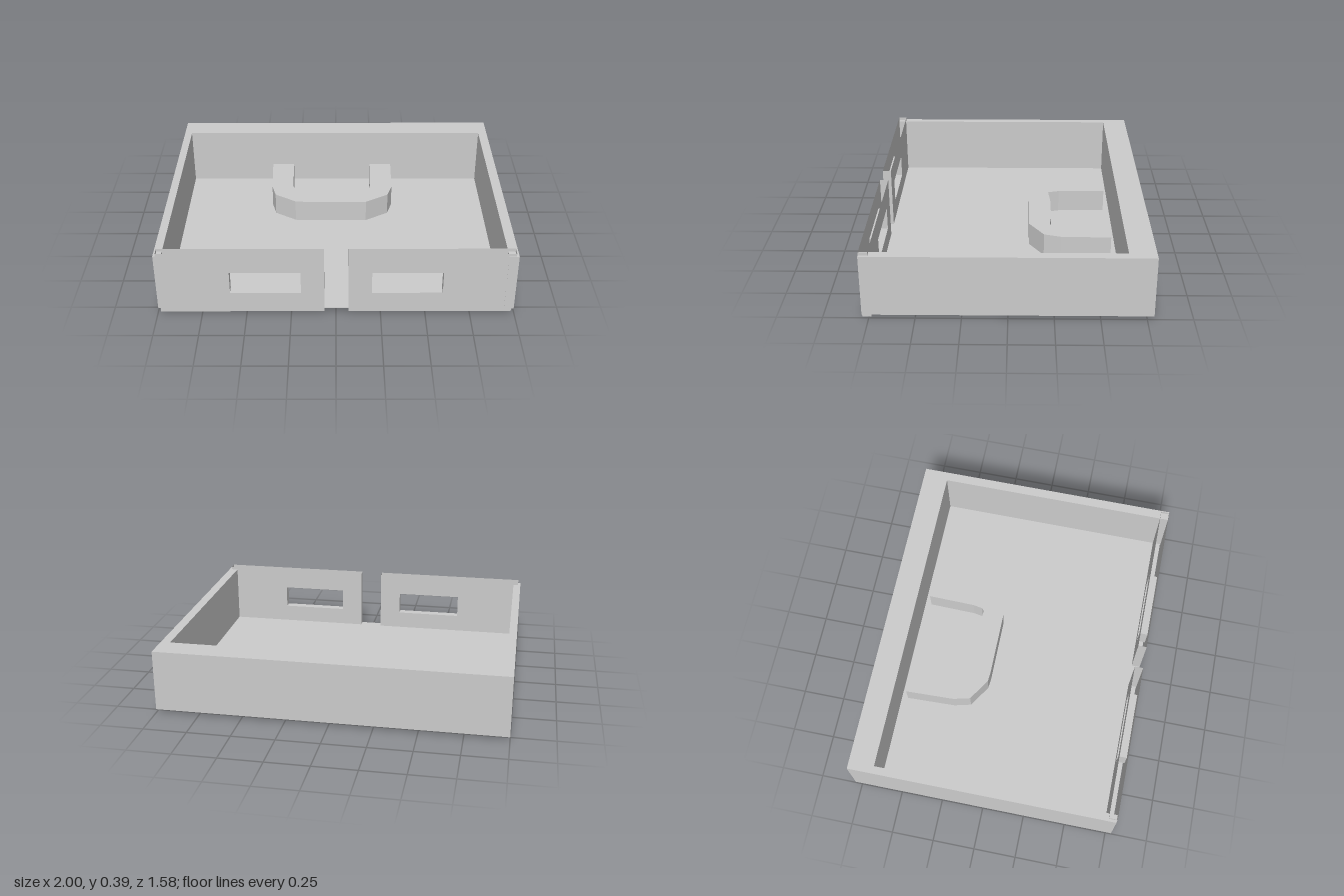
import * as THREE from 'three';

const material = new THREE.MeshStandardMaterial({ color: 0xcccccc, flatShading: true, side: THREE.DoubleSide });

function add(group, name, geometry) {
  const mesh = new THREE.Mesh(geometry, material);
  mesh.name = name;
  group.add(mesh);
  return mesh;
}

// Box given by its lower and upper corners
function block(group, name, [x0, y0, z0], [x1, y1, z1]) {
  const mesh = add(group, name, new THREE.BoxGeometry(x1 - x0, y1 - y0, z1 - z0));
  mesh.position.set((x0 + x1) / 2, (y0 + y1) / 2, (z0 + z1) / 2);
}

function rectangle(path, x0, y0, x1, y1) {
  path.moveTo(x0, y0).lineTo(x1, y0).lineTo(x1, y1).lineTo(x0, y1).closePath();
  return path;
}

// Hollow panel with a window, open along its top and bottom edges
function panelGeometry(x0, x1, windowX0, windowX1) {
  const height = 0.393;
  const shape = rectangle(new THREE.Shape(), x0, 0, x1, height);
  shape.holes.push(rectangle(new THREE.Path(), windowX0, 0.13, windowX1, 0.265));
  const solid = new THREE.ExtrudeGeometry(shape, { depth: 0.05, bevelEnabled: false });
  const p = solid.attributes.position;
  const kept = [];
  for (let i = 0; i < p.count; i += 3) {
    const corners = [i, i + 1, i + 2];
    const onEdge = (y) => corners.every((c) => Math.abs(p.getY(c) - y) < 1e-4);
    if (onEdge(0) || onEdge(height)) continue;
    for (const c of corners) kept.push(p.getX(c), p.getY(c), p.getZ(c));
  }
  const geometry = new THREE.BufferGeometry();
  geometry.setAttribute('position', new THREE.Float32BufferAttribute(kept, 3));
  geometry.computeVertexNormals();
  return geometry;
}

export function createModel() {
  const model = new THREE.Group();
  model.name = 'walledCourt';
  const bottom = 0.02, floorTop = 0.025, top = 0.375;

  // Floor and the three plain walls
  block(model, 'floor', [-1, bottom, -0.788], [1, floorTop, 0.784]);
  block(model, 'backWall', [-1, bottom, -0.788], [1, top, -0.638]);
  block(model, 'rightWall', [-1, bottom, -0.638], [-0.955, top, 0.784]);
  block(model, 'leftWall', [0.945, bottom, -0.638], [1, top, 0.788]);

  // Front panels either side of the entrance
  add(model, 'frontPanelRight', panelGeometry(-0.985, -0.065, -0.59, -0.195)).position.z = 0.737;
  add(model, 'frontPanelLeft', panelGeometry(0.07, 0.985, 0.2, 0.595)).position.z = 0.737;

  // U-shaped counter, outline as x and z
  const outline = [
    [-0.42, -0.6], [-0.41, -0.305], [-0.385, -0.205], [-0.255, -0.122], [-0.2, -0.117],
    [0.19, -0.117], [0.33, -0.205], [0.36, -0.305], [0.365, -0.6],
    [0.225, -0.6], [0.22, -0.315], [0.21, -0.26], [0.195, -0.242], [0.1, -0.253],
    [-0.14, -0.253], [-0.255, -0.242], [-0.275, -0.31], [-0.28, -0.6],
  ];
  const shape = new THREE.Shape(outline.map(([x, z]) => new THREE.Vector2(x, -z)));
  const counter = add(model, 'counter',
    new THREE.ExtrudeGeometry(shape, { depth: 0.163 - bottom - 0.002, bevelEnabled: false }));
  counter.rotation.x = -Math.PI / 2;
  counter.position.y = bottom + 0.002;

  return model;
}
